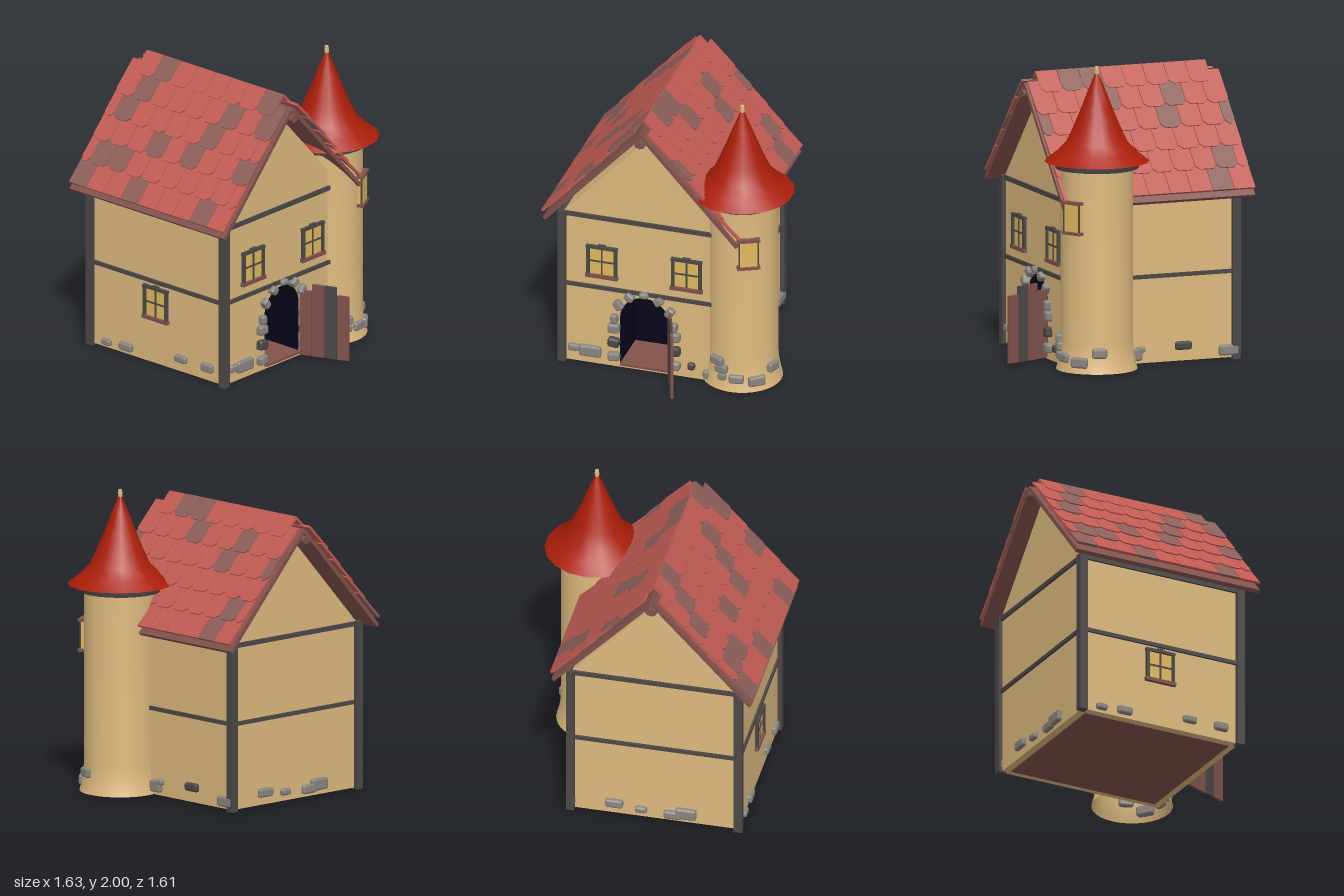
import * as THREE from 'three';
import { toCreasedNormals } from 'three/addons/utils/BufferGeometryUtils.js';
import { RoundedBoxGeometry } from 'three/addons/geometries/RoundedBoxGeometry.js';

const mat = (name, color) => {
  const m = new THREE.MeshStandardMaterial({ color });
  m.name = name;
  return m;
};
const M = {
  plaster: mat('plaster', 0xdeba7e),
  shingle: mat('red shingle', 0xc05b53),
  worn: mat('worn shingle', 0x8c5e59),
  spire: mat('spire red', 0xac1e09),
  timber: mat('grey timber', 0x4c4947),
  stone: mat('stone', 0x8a8580),
  night: mat('dark interior', 0x06061c),
  glass: mat('lit glass', 0xe2ba5e),
  wood: mat('red brown wood', 0x82524c),
};
M.plaster.side = THREE.DoubleSide; // the tower is an open tube

// House footprint, ridge and tower axis
const X0 = -0.70, X1 = 0.42, Z0 = -0.69, Z1 = 0.47, RX = -0.14;
const TX = 0.475, TZ = 0.31;

export function createModel() {
  const model = new THREE.Group();
  model.name = 'cottage';

  const add = (name, geo, m, x = 0, y = 0, z = 0, ry = 0, parent = model) => {
    const mesh = new THREE.Mesh(geo, m);
    mesh.name = name;
    mesh.position.set(x, y, z);
    mesh.rotation.y = ry;
    parent.add(mesh);
    return mesh;
  };
  const box = (name, w, h, d, m, x, y, z, ry, parent) =>
    add(name, new THREE.BoxGeometry(w, h, d), m, x, y, z, ry, parent);
  const polygon = pts => new THREE.Shape(pts.map(([x, y]) => new THREE.Vector2(x, y)));
  const extrude = (shape, depth) =>
    toCreasedNormals(new THREE.ExtrudeGeometry(shape, { depth, bevelEnabled: false, curveSegments: 12 }), 0.6);

  // Walls: solid rear body and a front slab with the arched doorway
  const gable = () => polygon([[X0, 0.01], [X1, 0.01], [X1, 1.10], [RX, 1.71], [X0, 1.10]]);
  const arch = (r, base, Type = THREE.Shape) => {
    const s = new Type();
    s.moveTo(RX - r, base);
    s.lineTo(RX + r, base);
    s.lineTo(RX + r, 0.375);
    s.absarc(RX, 0.375, r, 0, Math.PI, false);
    s.lineTo(RX - r, base);
    return s;
  };
  const split = 0.15;
  add('rearWalls', extrude(gable(), split - Z0), M.plaster, 0, 0, Z0);
  const front = gable();
  front.holes.push(arch(0.17, 0.025, THREE.Path));
  add('frontWall', extrude(front, Z1 - split), M.plaster, 0, 0, split);
  const lining = arch(0.17, 0.025);
  lining.holes.push(arch(0.164, 0.03, THREE.Path));
  add('doorwayLining', extrude(lining, Z1 - split - 0.005), M.night, 0, 0, split);
  add('doorwayBack', extrude(arch(0.165, 0.03), 0.008), M.night, 0, 0, split);
  box('doorwayFloor', 0.328, 0.016, Z1 - split + 0.02, M.wood, RX, 0.038, (Z1 + split) / 2 + 0.01);
  box('underside', X1 - X0 - 0.1, 0.008, Z1 - Z0 - 0.1, M.wood, RX, 0.008, (Z0 + Z1) / 2);

  // Timber posts and rails
  for (const [x, z] of [[X0, Z0], [X0, Z1], [X1, Z0]]) {
    box('cornerPost', 0.054, 1.112, 0.054, M.timber, x, 0.556, z);
  }
  for (const [y, h] of [[0.58, 0.026], [1.098, 0.03]]) {
    box('frontRail', 1.02, h, 0.03, M.timber, -0.19, y, Z1);
    box('backRail', X1 - X0, h, 0.03, M.timber, RX, y, Z0);
    for (const x of [X0, X1]) box('sideRail', 0.03, h, Z1 - Z0, M.timber, x, y, (Z0 + Z1) / 2);
  }

  // Roof slopes: a board under six overlapping shingle rows on each side
  const worn = {
    '-1': ['4,1', '5,0', '1,1', '2,1', '4,2', '0,2', '5,3', '3,3', '2,6', '1,6', '5,7', '3,8', '0,8', '1,8', '3,5'],
    '1': ['0,6', '0,7', '1,2', '2,3', '1,5', '4,1', '5,1', '2,0', '2,9'],
  };
  for (const s of [-1, 1]) {
    const onSlope = (mesh, u, n, top, angle, tilt) => {
      const c = Math.cos(angle), d = Math.sin(angle);
      mesh.position.x = RX + s * (u * c + n * d);
      mesh.position.y = top - u * d + n * c;
      mesh.rotation.z = -s * (angle - tilt);
    };
    const board = box('roofBoard', 0.975, 0.026, 1.35, M.wood, 0, 0, -0.11);
    onSlope(board, 0.4875, 0, 1.80, 0.829, 0);
    for (let row = 0; row < 6; row++) {
      // Even rows shift by half a tile; the ridge row leaves out the half tiles
      const shift = row % 2 ? 0 : 0.075;
      const low = 0.167 * (row + 1), high = Math.max(0, low - 0.26);
      const l = (low - high) / 2, cut = row === 5 ? 0 : 0.028;
      for (let col = 0; col < (shift ? 10 : 9); col++) {
        if (row === 0 && (col === 0 || col === 9)) continue;
        const za = Math.max(-0.785, -0.785 - shift + col * 0.15);
        const zb = Math.min(0.565, -0.785 - shift + (col + 1) * 0.15);
        const w = (zb - za) / 2 - 0.002;
        const shape = polygon([[-s * l, -w], [s * (l - cut), -w], [s * l, cut - w], [s * l, w - cut],
          [s * (l - cut), w], [-s * l, w]]);
        const geo = new THREE.ExtrudeGeometry(shape, { depth: 0.016, bevelEnabled: false });
        geo.translate(0, 0, -0.008).rotateX(Math.PI / 2);
        const m = worn[s].includes(row + ',' + col) ? M.worn : M.shingle;
        const tile = add('shingle', geo, m, 0, 0, (za + zb) / 2);
        onSlope(tile, (low + high) / 2, 0.002, 1.878, 0.843, 0.045);
      }
    }
  }
  const ridge = add('ridgeBeam', new THREE.CylinderGeometry(0.038, 0.038, 1.39, 8).rotateX(Math.PI / 2),
    M.wood, RX, 1.742, -0.11);
  ridge.scale.y = 0.7;

  // Round tower with flared foot, collar, spire and finial
  const lathe = (pts, n) => toCreasedNormals(
    new THREE.LatheGeometry(pts.map(p => new THREE.Vector2(...p)), n), 0.7);
  add('tower', lathe([[0.266, 0.01], [0.252, 0.06], [0.24, 0.13], [0.235, 0.2], [0.235, 1.36]], 32),
    M.plaster, TX, 0, TZ);
  add('towerCollar', lathe([[0.2, 1.335], [0.272, 1.335], [0.284, 1.38], [0, 1.38]], 24), M.timber, TX, 0, TZ);
  add('spire', lathe([[0, 1.378], [0.342, 1.378], [0.27, 1.435], [0.2, 1.505], [0.155, 1.6],
    [0.105, 1.72], [0.055, 1.85], [0.012, 1.955]], 18), M.spire, TX, 0, TZ);
  add('finial', lathe([[0, 1.93], [0.012, 1.93], [0.016, 1.975], [0.012, 2.0], [0, 2.0]], 8),
    M.plaster, TX, 0, TZ);

  // Windows: frame, glazing bars, glass and sill
  const windowAt = (x, y, z, ry) => {
    const g = new THREE.Group();
    g.name = 'window';
    g.position.set(x, y, z);
    g.rotation.y = ry;
    model.add(g);
    box('glass', 0.18, 0.2, 0.008, M.glass, 0, 0, 0.005, 0, g);
    for (const s of [-1, 1]) box('frameSide', 0.02, 0.22, 0.03, M.timber, s * 0.093, 0, 0.008, 0, g);
    box('frameTop', 0.212, 0.02, 0.032, M.timber, 0, 0.104, 0.008, 0, g);
    box('frameKnob', 0.05, 0.012, 0.03, M.timber, 0, 0.117, 0.008, 0, g);
    box('barUpright', 0.011, 0.2, 0.014, M.timber, 0, 0, 0.008, 0, g);
    box('barCross', 0.18, 0.011, 0.014, M.timber, 0, 0, 0.008, 0, g);
    box('sill', 0.222, 0.024, 0.04, M.wood, 0, -0.108, 0.007, 0, g);
  };
  windowAt(-0.43, 0.775, Z1, 0);
  windowAt(0.148, 0.775, Z1, 0);
  windowAt(X0, 0.43, -0.12, -Math.PI / 2);

  // Tower window
  const tw = new THREE.Group();
  tw.name = 'towerWindow';
  tw.position.set(TX + 0.105, 1.03, TZ + 0.206);
  tw.rotation.y = 0.47;
  model.add(tw);
  box('glass', 0.128, 0.19, 0.046, M.glass, 0, 0, 0.002, 0, tw);
  for (const s of [-1, 1]) {
    box('frameSide', 0.008, 0.19, 0.012, M.timber, s * 0.063, 0, 0.021, 0, tw);
    box('ledge', 0.15, 0.02, 0.06, M.wood, 0, s * 0.1, 0.006, 0, tw);
  }

  // Open plank door swung outwards
  [[0.45, M.wood], [0.5, M.wood], [0.5, M.timber], [0.445, M.wood]].forEach(([h, m], i) => {
    const t = 0.04 + i * 0.087;
    box('doorPlank', 0.018, h, 0.08, m, 0.028 + t * 0.36, 0.02 + h / 2, Z1 + 0.01 + t * 0.93, 0.37);
  });

  // Stones around the doorway
  const stone = (x, y, z, w, h, ry = 0, rz = 0, m = M.stone) => {
    add('stone', new RoundedBoxGeometry(w, h, 0.06, 1, 0.016), m, x, y, z, ry).rotation.z = rz;
  };
  for (const s of [-1, 1]) {
    [[0.207, 0.09, 0.08, 0.06, 0.1], [0.207, 0.195, 0.08, 0.065, -0.1, M.timber], [0.207, 0.3, 0.08, 0.065, 0],
      [0.203, 0.37, 0.05, 0.065, 0.05], [0.175, 0.475, 0.055, 0.07, 0.6], [0.1, 0.545, 0.055, 0.065, 0.95]]
      .forEach(([dx, y, w, h, r, m]) => stone(RX + s * dx, y, Z1 + 0.012, w, h, 0, -s * r, m));
  }
  stone(RX, 0.575, Z1 + 0.012, 0.065, 0.04);

  // Stones along the wall bases
  [[-0.51, 0.10, 0.15, 0.08], [-0.62, 0.11, 0.08, 0.05], [0.18, 0.10, 0.05, 0.05, M.timber], [0.285, 0.06, 0.05, 0.06]]
    .forEach(([x, y, w, h, m]) => stone(x, y, Z1, w, h, 0, 0, m));
  [[0.13, 0.09, 0.12, 0.06], [-0.05, 0.07, 0.08, 0.045], [-0.26, 0.06, 0.12, 0.06], [-0.35, 0.08, 0.14, 0.08]]
    .forEach(([x, y, w, h]) => stone(x, y, Z0, w, h));
  [[0.02, 0.07, 0.1, 0.08], [-0.02, 0.10, 0.06, 0.04], [-0.32, 0.11, 0.115, 0.055, M.timber], [-0.64, 0.06, 0.14, 0.07]]
    .forEach(([z, y, w, h, m]) => stone(X1, y, z, w, h, Math.PI / 2, 0, m));
  [[-0.55, 0.05, 0.08, 0.045], [-0.38, 0.06, 0.11, 0.055], [0.1, 0.1, 0.1, 0.05], [0.33, 0.1, 0.1, 0.06]]
    .forEach(([z, y, w, h]) => stone(X0, y, z, w, h, Math.PI / 2));

  // Stones on the tower foot, placed by angle from the front
  [[-0.42, 0.21, 0.1, 0.06], [-0.28, 0.16, 0.09, 0.06], [0.15, 0.1, 0.1, 0.06], [-0.25, 0.105, 0.06, 0.055],
    [0.7, 0.08, 0.12, 0.07], [1.25, 0.145, 0.1, 0.065]]
    .forEach(([a, y, w, h]) => stone(TX + Math.sin(a) * 0.238, y, TZ + Math.cos(a) * 0.238, w, h, a));

  return model;
}
